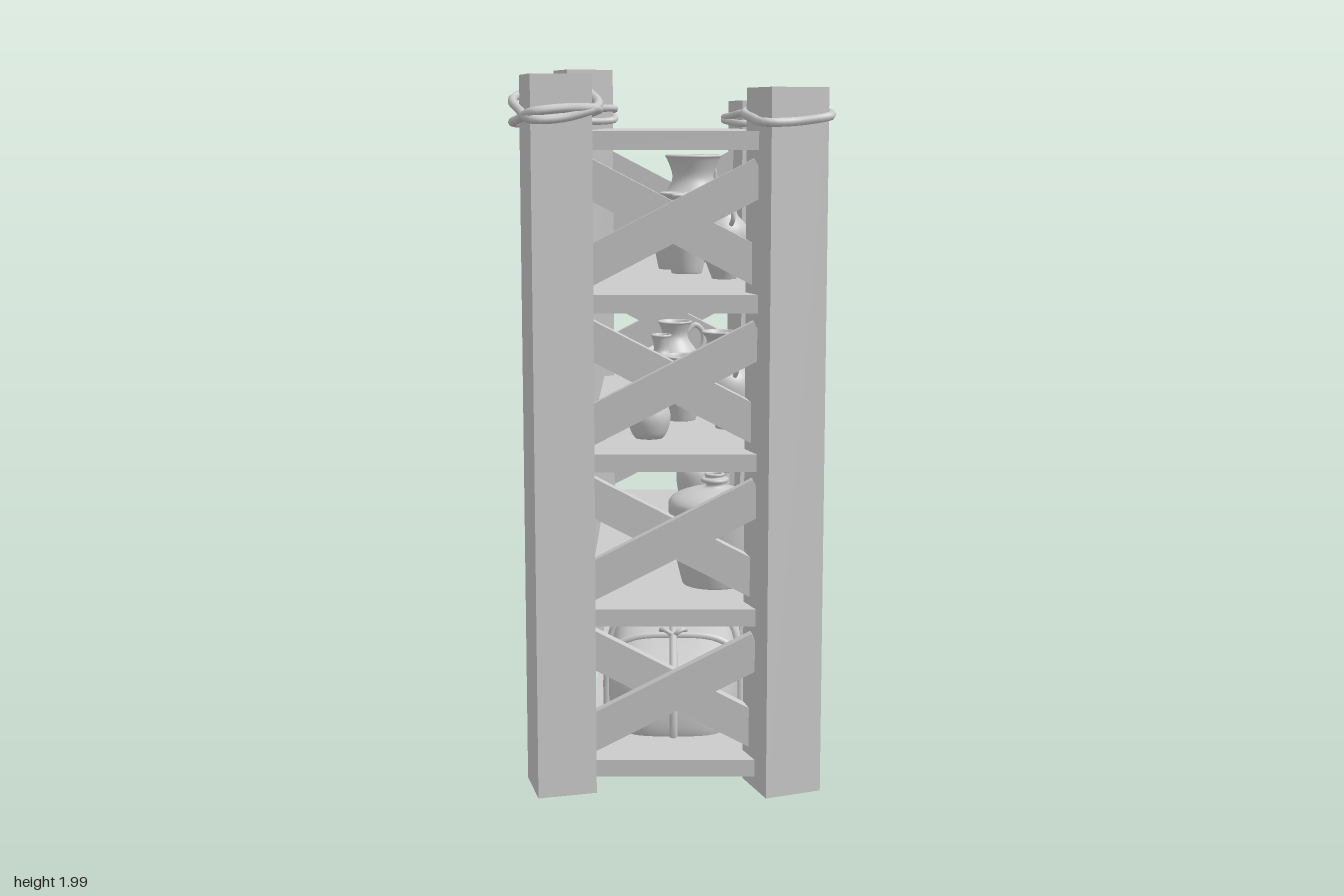
import * as THREE from 'three';

const YAW = -0.305; // the rack stands turned on its base
const V3 = (x, y, z) => new THREE.Vector3(x, y, z);
const grey = new THREE.MeshStandardMaterial({ color: 0xcccccc });
const greyThin = new THREE.MeshStandardMaterial({ color: 0xcccccc, side: THREE.DoubleSide });

function add(parent, name, geometry, x = 0, y = 0, z = 0, material = grey) {
  const mesh = new THREE.Mesh(geometry, material);
  mesh.name = name;
  mesh.position.set(x, y, z);
  parent.add(mesh);
  return mesh;
}

function rope(parent, name, points, radius, closed = false, segments = 48) {
  const curve = new THREE.CatmullRomCurve3(points, closed);
  return add(parent, name, new THREE.TubeGeometry(curve, segments, radius, 8, closed));
}

// Profiles as [radius, height], relative to the greatest radius and full height
const PROFILES = {
  amphora: [[0.5, 0], [0.55, 0.04], [0.82, 0.27], [1, 0.52], [0.9, 0.68], [0.57, 0.8], [0.52, 0.88], [0.72, 0.98], [0.74, 1], [0.62, 1], [0.42, 0.88], [0.4, 0.75]],
  vase: [[0.62, 0], [0.68, 0.04], [0.88, 0.35], [1, 0.62], [0.9, 0.77], [0.55, 0.85], [0.48, 0.91], [0.62, 0.97], [0.62, 1], [0.5, 1], [0.38, 0.9], [0.38, 0.8]],
  jar: [[0.62, 0], [0.67, 0.04], [0.9, 0.35], [1, 0.6], [0.93, 0.78], [0.72, 0.91], [0.8, 0.97], [0.8, 1], [0.68, 1], [0.6, 0.9], [0.6, 0.8]],
  jug: [[0.5, 0], [0.68, 0.07], [0.95, 0.25], [1, 0.38], [0.86, 0.56], [0.58, 0.71], [0.5, 0.82], [0.62, 0.96], [0.68, 1], [0.57, 1], [0.4, 0.82], [0.42, 0.7]],
  flask: [[0.65, 0], [0.85, 0.1], [1, 0.3], [0.85, 0.5], [0.5, 0.68], [0.4, 0.78], [0.48, 0.94], [0.55, 1], [0.44, 1], [0.3, 0.8]],
  demijohn: [[0.68, 0], [0.72, 0.03], [0.88, 0.32], [1, 0.66], [0.95, 0.78], [0.6, 0.85], [0.22, 0.88], [0.2, 0.92], [0.29, 0.93], [0.29, 0.96], [0.2, 0.97], [0.22, 1], [0.15, 1], [0.13, 0.9]],
  bottle: [[0.9, 0], [1, 0.03], [1, 0.3], [0.95, 0.48], [0.5, 0.62], [0.38, 0.7], [0.36, 0.94], [0.5, 0.95], [0.5, 1], [0.3, 1], [0.25, 0.7]],
  bowl: [[0.4, 0], [0.45, 0.05], [0.8, 0.45], [1, 1], [0.93, 1], [0.72, 0.5], [0.4, 0.2], [0, 0.15]],
  plate: [[0.42, 0], [0.45, 0.1], [0.62, 0.5], [1, 0.9], [1, 1], [0.6, 0.62], [0.42, 0.25], [0, 0.2]],
};

function vessel(parent, kind, x, y, z, r, h) {
  const group = new THREE.Group();
  group.name = kind;
  group.position.set(x, y, z);
  parent.add(group);
  const curve = new THREE.SplineCurve(PROFILES[kind].map(([a, b]) => new THREE.Vector2(a * r, b * h)));
  const points = [new THREE.Vector2(0, 0), ...curve.getPoints(44)];
  points.forEach(p => { p.x = Math.max(p.x, 0); });
  add(group, kind + 'Body', new THREE.LatheGeometry(points, 36), 0, 0, 0, greyThin);
  return group;
}

// Handle bent through [distance from axis, height] points, in direction a
function handle(group, a, points, radius) {
  rope(group, 'handle', points.map(([d, y]) => V3(d * Math.cos(a), y, d * Math.sin(a))), radius, false, 24);
}

function amphora(parent, x, y, z) {
  const g = vessel(parent, 'amphora', x, y, z, 0.07, 0.225);
  for (const a of [Math.PI / 2, -Math.PI / 2])
    handle(g, a, [[0.036, 0.195], [0.055, 0.213], [0.073, 0.2], [0.075, 0.175], [0.055, 0.155]], 0.007);
}

function basket(parent, x, y, z) {
  const g = new THREE.Group();
  g.name = 'basket';
  g.position.set(x, y, z);
  parent.add(g);
  const wall = [[0, 0], [0.108, 0], [0.114, 0.008], [0.137, 0.27], [0.142, 0.275], [0.142, 0.29], [0.13, 0.29], [0.106, 0.02], [0, 0.02]];
  add(g, 'basketWall', new THREE.LatheGeometry(wall.map(p => new THREE.Vector2(...p)), 40), 0, 0, 0, greyThin);
  for (const s of [-1, 1]) {
    const arch = [[-0.065, 0.24, 0.135], [-0.06, 0.3, 0.14], [-0.035, 0.342, 0.155], [0, 0.354, 0.16],
      [0.035, 0.342, 0.155], [0.06, 0.3, 0.14], [0.065, 0.24, 0.135]];
    rope(g, 'basketHandle', arch.map(([t, h, d]) => V3(s * (d - 0.012), h, t - s * 0.035)), 0.008, false, 30);
  }
}

// Padded bale, pushed from a ball towards a rounded block
function bundle(parent, x, y, z) {
  const g = new THREE.Group();
  g.name = 'bundle';
  g.position.set(x, y, z);
  parent.add(g);
  const half = [0.19, 0.158, 0.345];
  const soft = (v, e) => Math.sign(v) * Math.pow(Math.abs(v), e);
  const geo = new THREE.SphereGeometry(1, 56, 40);
  geo.rotateX(Math.PI / 2);
  const p = geo.attributes.position;
  for (let i = 0; i < p.count; i++) {
    const d = [p.getX(i), p.getY(i), p.getZ(i)];
    const k = Math.pow(d.reduce((sum, v) => sum + Math.pow(Math.abs(v), 3.6), 0), -1 / 3.6);
    p.setXYZ(i, d[0] * k * half[0], d[1] * k * half[1], d[2] * k * half[2]);
  }
  geo.computeVertexNormals();
  add(g, 'baleCloth', geo);
  // Straps: two across and one lengthwise
  const loop = (a, b, place) => {
    const points = [];
    for (let i = 0; i < 32; i++) {
      const t = i / 32 * Math.PI * 2;
      points.push(place(a * soft(Math.cos(t), 0.56), b * soft(Math.sin(t), 0.56)));
    }
    rope(g, 'strap', points, 0.011, true, 80);
  };
  for (const s of [-0.14, 0.14]) {
    loop(half[0] + 0.004, half[1] + 0.004, (u, v) => V3(u, v, s));
    for (const k of [-1, 1]) {
      const knot = add(g, 'knot', new THREE.TorusGeometry(0.018, 0.007, 8, 16), k * 0.02, half[1] + 0.01, s);
      knot.rotation.set(0.9, k * 0.5, 0);
    }
  }
  loop(half[2] + 0.004, half[1] + 0.004, (u, v) => V3(0, v, u));
  g.rotation.y = YAW;
}

export function createModel() {
  const model = new THREE.Group();
  model.name = 'storageRack';

  // Posts: x, z, top, turn, then rope loops as [height, tilt, phase]
  const posts = [
    [-0.51, 0.615, 1.945, -0.05, [[1.875, 0.045, 2.6], [1.84, 0.02, 0.3]]],
    [0.063, 0.79, 1.912, 0.06, [[1.845, 0.022, 2.6]]],
    [0.5, -0.606, 1.895, -0.04, [[1.85, 0.012, 0.4], [1.83, 0.012, 2.5]]],
    [-0.07, -0.78, 1.997, 0.05, [[1.87, 0.045, 3.4], [1.84, 0.03, 0.6]]],
  ];
  for (const [x, z, top, turn, loops] of posts) {
    const post = add(model, 'post', new THREE.BoxGeometry(0.16, top - 0.03, 0.16), x, (top + 0.03) / 2, z);
    post.rotation.y = turn;
    for (const [y, tilt, phase] of loops) {
      const points = [];
      for (let i = 0; i < 8; i++) {
        const a = i * Math.PI / 4, r = i % 2 ? 0.123 : 0.093;
        points.push(V3(x + r * Math.cos(a + turn), y + tilt * Math.sin(a + phase), z + r * Math.sin(a + turn)));
      }
      rope(model, 'postRope', points, 0.012, true);
    }
  }

  // Shelves and crossed end braces
  const frame = new THREE.Group();
  frame.name = 'frame';
  frame.rotation.y = YAW;
  model.add(frame);
  const shelfTop = i => 0.111 + 0.4225 * i;
  for (let i = 0; i < 5; i++) {
    add(frame, 'shelf', new THREE.BoxGeometry(0.462, 0.048, 1.53), 0, shelfTop(i) - 0.024, 0);
    if (i === 4) break;
    for (const end of [-1, 1]) for (const lean of [-1, 1]) {
      const brace = add(frame, 'brace', new THREE.BoxGeometry(0.53, 0.098, 0.034), 0, shelfTop(i) + 0.187, end * (0.728 + lean * 0.0175));
      brace.rotation.z = lean * 0.48;
    }
  }

  // Bottom shelf
  bundle(model, -0.07, 0.185, 0.235);
  basket(model, 0.215, shelfTop(0), -0.405);

  // Second shelf
  const y1 = shelfTop(1), y2 = shelfTop(2), y3 = shelfTop(3);
  vessel(model, 'demijohn', -0.03, y1, 0.495, 0.13, 0.313);
  vessel(model, 'bottle', 0.074, y1, 0.282, 0.041, 0.285);
  vessel(model, 'plate', 0.105, y1, 0.053, 0.14, 0.042);
  vessel(model, 'vase', 0.168, y1, -0.24, 0.073, 0.237);

  // Third shelf
  vessel(model, 'flask', -0.215, y2, 0.47, 0.06, 0.19);
  amphora(model, 0.046, y2, 0.388);
  vessel(model, 'jar', -0.04, y2, 0.212, 0.07, 0.19);
  vessel(model, 'bowl', 0.03, y2, 0.07, 0.07, 0.053);
  amphora(model, 0.165, y2, -0.038);
  vessel(model, 'flask', 0.05, y2, -0.27, 0.06, 0.19);
  const smallJug = vessel(model, 'jug', 0.135, y2, -0.392, 0.083, 0.218);
  handle(smallJug, 0, [[0.045, 0.185], [0.07, 0.205], [0.095, 0.185], [0.098, 0.14], [0.075, 0.1]], 0.009);

  // Fourth shelf
  amphora(model, 0.06, y3, 0.31);
  vessel(model, 'vase', 0.013, y3, 0.106, 0.07, 0.232);
  vessel(model, 'vase', 0.024, y3, -0.058, 0.07, 0.232);
  const bigJug = vessel(model, 'jug', 0.172, y3, -0.317, 0.133, 0.338);
  handle(bigJug, -0.8, [[0.07, 0.275], [0.11, 0.3], [0.15, 0.285], [0.16, 0.23], [0.13, 0.165], [0.11, 0.155]], 0.013);

  return model;
}
